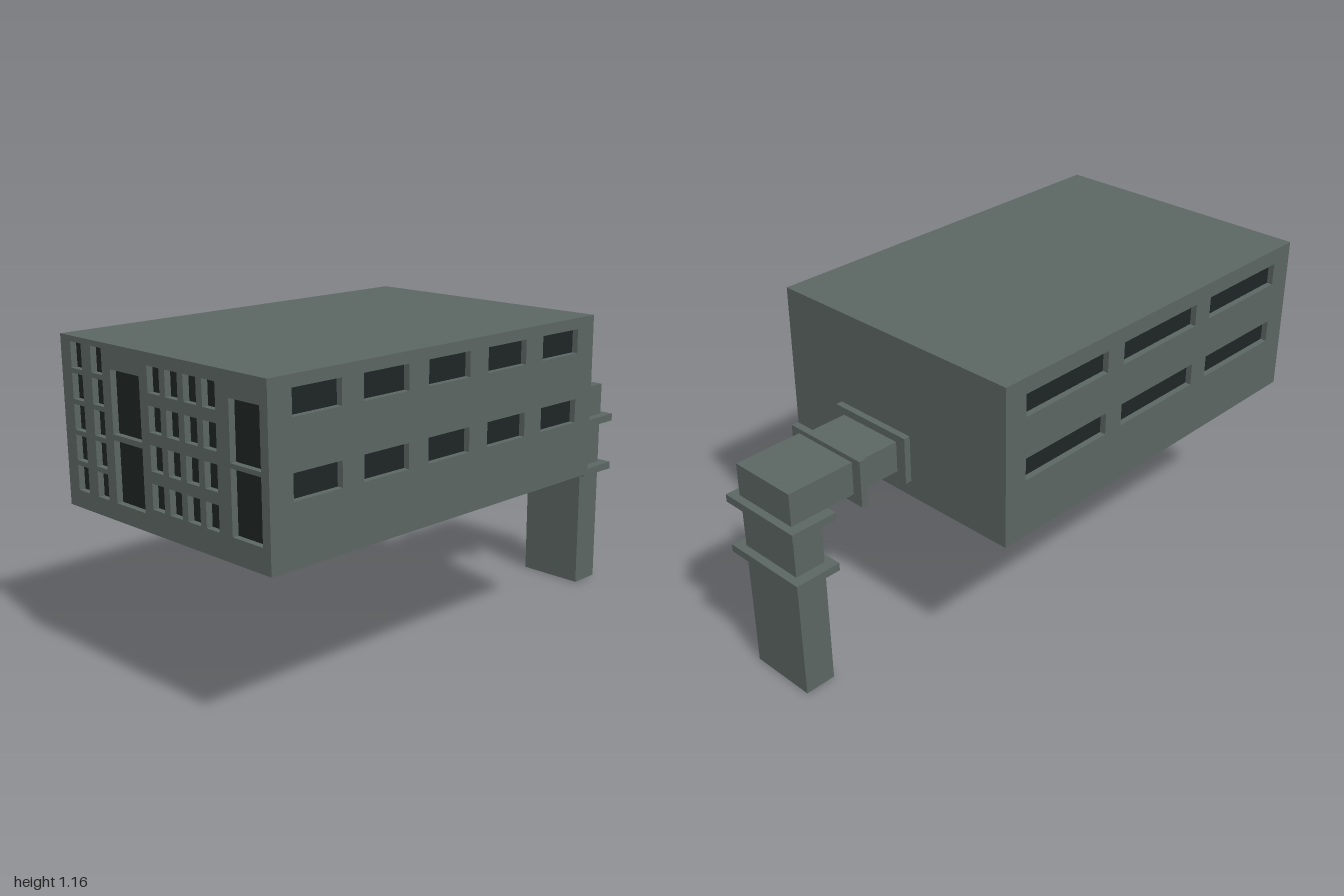
import * as THREE from 'three';

const wallMat = new THREE.MeshStandardMaterial({ color: 0x5c6663 });
const glassMat = new THREE.MeshStandardMaterial({ color: 0x1e2625 });

const Y0 = 0.585, Y1 = 1.16;            // building bottom and top
const X0 = -0.508, X1 = 0.506;          // building sides
const Z0 = -0.5, Z1 = 1;                // building back and front
const T = 0.025;                        // window recess depth

// Box given by its limits on each axis
function box(name, x0, x1, y0, y1, z0, z1) {
  const mesh = new THREE.Mesh(new THREE.BoxGeometry(x1 - x0, y1 - y0, z1 - z0), wallMat);
  mesh.position.set((x0 + x1) / 2, (y0 + y1) / 2, (z0 + z1) / 2);
  mesh.name = name;
  return mesh;
}

// Regular grid of windows as [u, v, width, height]
function grid(u, v, cols, rows, du, dv, w, h) {
  const list = [];
  for (let c = 0; c < cols; c++)
    for (let r = 0; r < rows; r++) list.push([u + c * du, v + r * dv, w, h]);
  return list;
}

// Pierced wall panel with dark glass set at the back of each opening
function wall(name, u0, u1, windows) {
  const group = new THREE.Group();
  group.name = name;
  const shape = new THREE.Shape([[u0, Y0], [u1, Y0], [u1, Y1], [u0, Y1]].map(p => new THREE.Vector2(...p)));
  for (const [u, v, w, h] of windows) {
    shape.holes.push(new THREE.Path(
      [[u, v], [u, v + h], [u + w, v + h], [u + w, v]].map(p => new THREE.Vector2(...p))));
    const pane = new THREE.Mesh(new THREE.PlaneGeometry(w, h), glassMat);
    pane.position.set(u + w / 2, v + h / 2, 0.003);
    pane.name = 'windowGlass';
    group.add(pane);
  }
  const panel = new THREE.Mesh(
    new THREE.ExtrudeGeometry(shape, { depth: T, bevelEnabled: false }), wallMat);
  panel.name = name + 'Panel';
  group.add(panel);
  return group;
}

export function createModel() {
  const model = new THREE.Group();
  model.name = 'building';

  // Solid core behind the window walls
  model.add(box('buildingCore', X0 + T, X1 - T, Y0, Y1, Z0, Z1 - T));

  // Front wall: small windows, large panes and a four by four grid
  const front = wall('frontWall', X0, X1, [
    ...grid(-0.453, 0.645, 2, 5, 0.111, 0.1025, 0.059, 0.086),
    ...grid(-0.239, 0.645, 1, 2, 0, 0.227, 0.151, 0.208),
    ...grid(-0.046, 0.666, 4, 4, 0.088, 0.123, 0.06, 0.084),
    [0.338, 0.666, 0.134, 0.208],
    [0.338, 0.889, 0.134, 0.191],
  ]);
  front.position.z = Z1 - T;
  model.add(front);

  // Side wall at +x: five windows in each of two rows
  const left = wall('leftWall', -(Z1 - T), -Z0,
    grid(-0.91, 0.79, 5, 2, 0.2818, 0.247, 0.193, 0.084));
  left.rotation.y = Math.PI / 2;
  left.position.x = X1 - T;
  model.add(left);

  // Side wall at -x: three longer windows in each of two rows
  const right = wall('rightWall', Z0, Z1 - T,
    grid(-0.41, 0.795, 3, 2, 0.466, 0.228, 0.386, 0.08));
  right.rotation.y = -Math.PI / 2;
  right.position.x = X0 + T;
  model.add(right);

  // Rectangular duct leaving the back wall and dropping to the ground
  const duct = new THREE.Group();
  duct.name = 'duct';
  const a = -0.04, b = 0.217;           // duct sides
  const fa = -0.08, fb = 0.255;         // flange sides
  duct.add(
    box('wallFlange', fa, fb, 0.645, 0.817, -0.524, Z0),
    box('horizontalDuct', a, b, 0.677, 0.79, -0.75, -0.524),
    box('middleFlange', fa, fb, 0.645, 0.817, -0.716, -0.69),
    box('elbow', a - 0.002, b + 0.002, 0.68, 0.8, -0.972, -0.716),
    box('upperFlange', fa, fb, 0.652, 0.68, -1, -0.825),
    box('verticalDuct', a, b, 0, 0.68, -0.97, -0.853),
    box('lowerFlange', fa, fb, 0.455, 0.483, -1, -0.825),
  );
  model.add(duct);
  return model;
}
